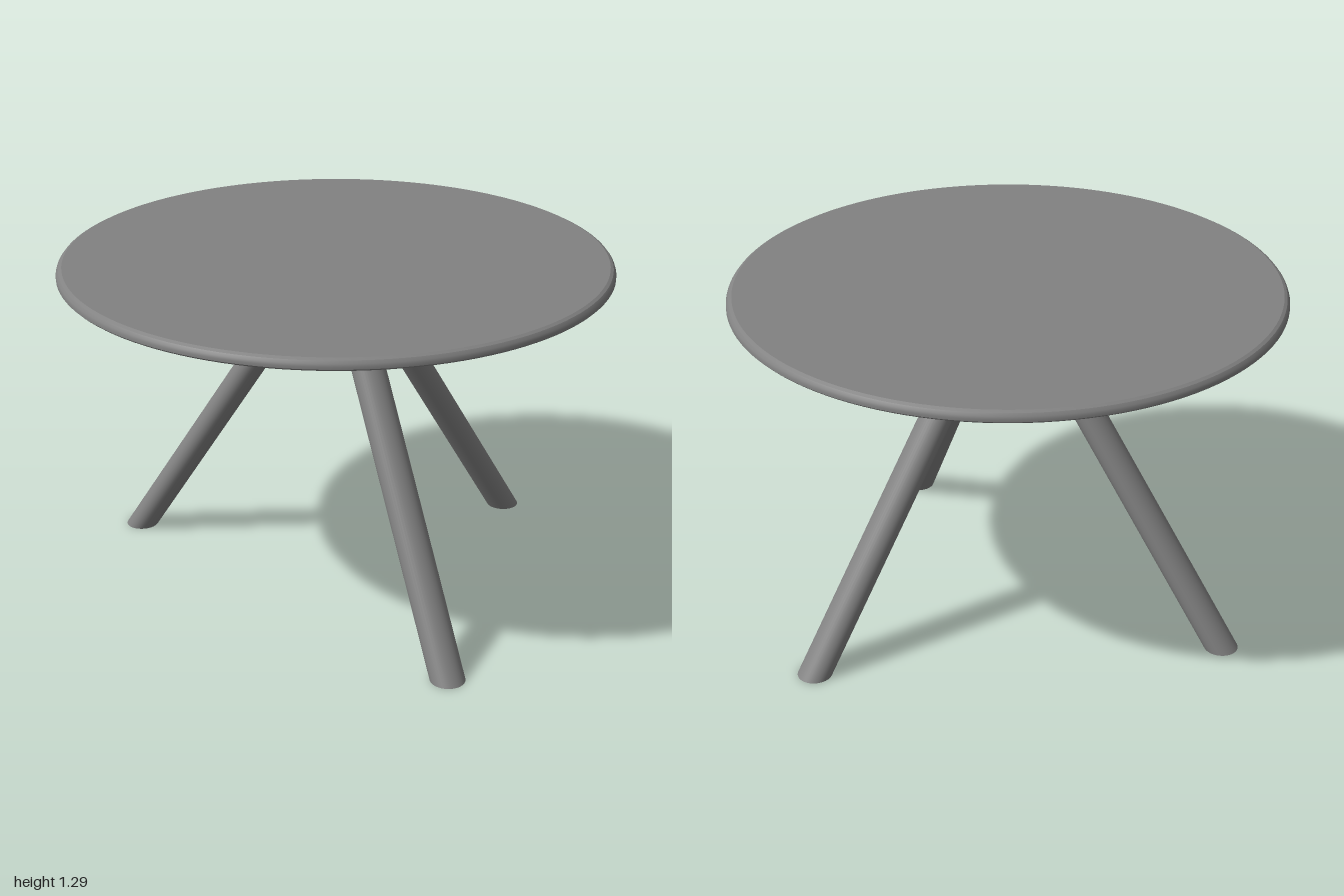
import * as THREE from 'three';
import { toCreasedNormals } from 'three/addons/utils/BufferGeometryUtils.js';

const material = new THREE.MeshStandardMaterial({ color: 0x828282 });

function addPart(parent, name, geometry) {
  const mesh = new THREE.Mesh(geometry, material);
  mesh.name = name;
  parent.add(mesh);
}

// Solid of revolution with sharp edges where the profile turns
function turned(profile, segments) {
  const points = profile.map(([r, y]) => new THREE.Vector2(r, y));
  return toCreasedNormals(new THREE.LatheGeometry(points, segments), 0.35);
}

// Slanted round leg: level ends, circular in every horizontal slice
function legGeometry(foot, top, height, radius) {
  const geometry = new THREE.CylinderGeometry(radius, radius, height, 40, 1);
  geometry.translate(0, height / 2, 0);
  const shear = new THREE.Matrix4().set(
    1, (top[0] - foot[0]) / height, 0, foot[0],
    0, 1, 0, 0,
    0, (top[1] - foot[1]) / height, 1, foot[1],
    0, 0, 0, 1
  );
  return geometry.applyMatrix4(shear);
}

export function createModel() {
  const table = new THREE.Group();
  table.name = 'roundTable';

  // Thin top with a softened rim
  addPart(table, 'tableTop', turned([
    [0, 1.248], [0.994, 1.248], [1, 1.254], [1, 1.263],
    [0.997, 1.272], [0.99, 1.281], [0.979, 1.287], [0, 1.287],
  ], 128));

  // Stepped mounting plate under the top
  addPart(table, 'mountingPlate', turned([
    [0, 1.215], [0.18, 1.215], [0.185, 1.22], [0.185, 1.237],
    [0.215, 1.237], [0.215, 1.248], [0, 1.248],
  ], 64));

  // Three splayed legs, each given as [x, z] at the foot and at the top
  const legs = [
    { name: 'rightLeg', foot: [-0.893, -0.01], top: [-0.085, -0.01] },
    { name: 'frontLeftLeg', foot: [0.702, 0.525], top: [0.057, 0.035] },
    { name: 'backLeftLeg', foot: [0.354, -0.842], top: [0.03, -0.1] },
  ];
  for (const { name, foot, top } of legs) {
    addPart(table, name, legGeometry(foot, top, 1.22, 0.063));
  }

  return table;
}
